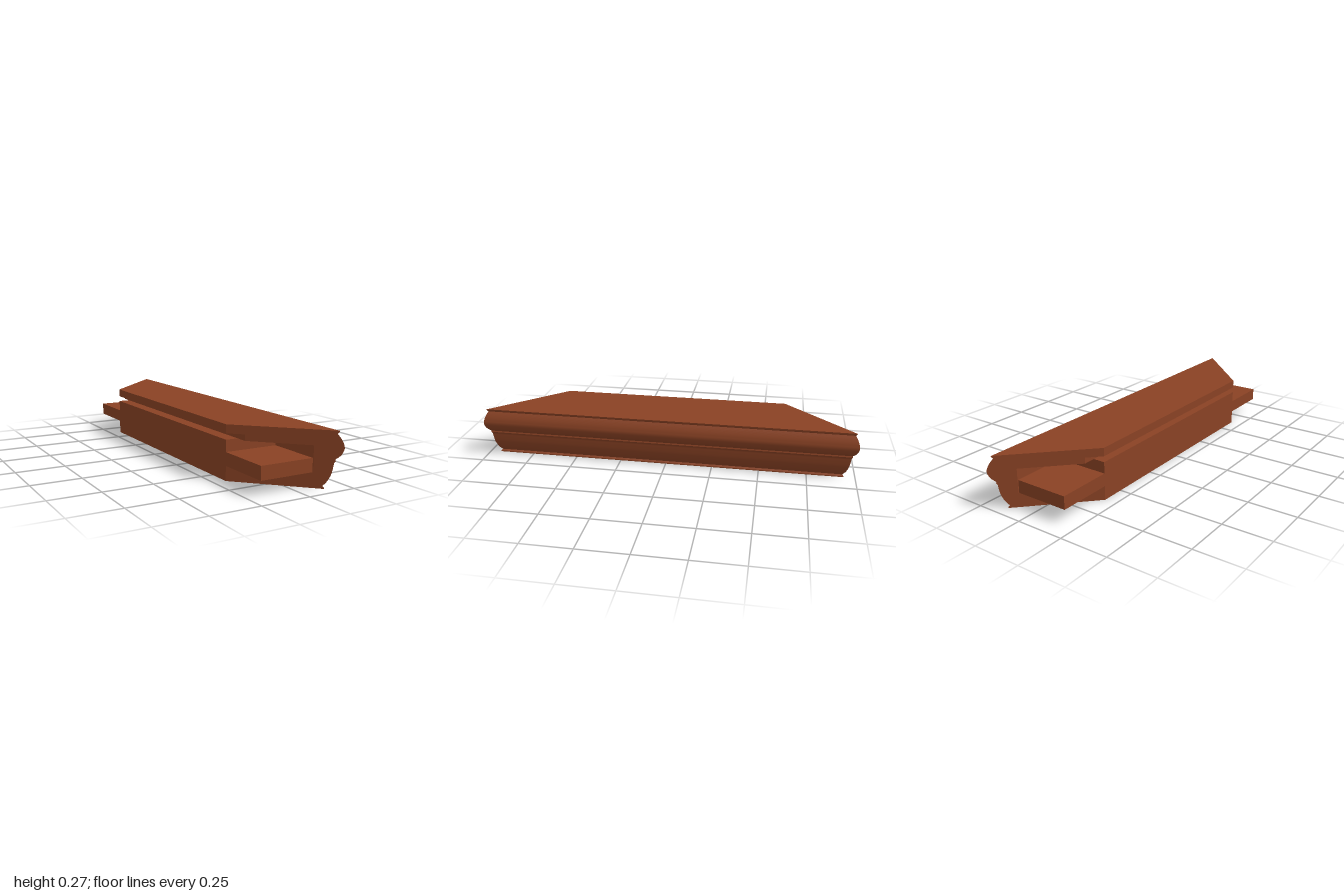
import * as THREE from 'three';
import { toCreasedNormals } from 'three/addons/utils/BufferGeometryUtils.js';

const BACK = -0.187, WALL = 0.62;              // rear face, and depth where the mortises stop
const SLOT = { x: 0.092, y0: 0.072, y1: 0.196 };
const GROOVE = { x: -0.125, y: 0.226 };
const TOP = 0.268;

// Half length at each x: both ends are mitred
const mitre = (x) => WALL + (x - BACK) * 1.0188;
const stop = () => WALL;

// Walls along z following a counter-clockwise outline
function sweep(points, lo, hi) {
  const pos = [];
  for (let i = 0; i < points.length - 1; i++) {
    const [p, q] = [points[i], points[i + 1]];
    const a = [p.x, p.y, lo(p.x)], b = [q.x, q.y, lo(q.x)];
    const c = [q.x, q.y, hi(q.x)], d = [p.x, p.y, hi(p.x)];
    pos.push(...a, ...b, ...c, ...a, ...c, ...d);
  }
  const g = new THREE.BufferGeometry();
  g.setAttribute('position', new THREE.Float32BufferAttribute(pos, 3));
  return toCreasedNormals(g, 0.6);
}

const pts = (list) => list.map(([x, y]) => new THREE.Vector2(x, y));
const curve = (list, n) => new THREE.SplineCurve(pts(list)).getPoints(n);

export function createModel() {
  const group = new THREE.Group();
  const wood = new THREE.MeshStandardMaterial({ color: 0x8a4224 });
  wood.name = 'brown wood';
  const add = (name, geometry) => {
    const mesh = new THREE.Mesh(geometry, wood);
    mesh.name = name;
    group.add(mesh);
    return mesh;
  };

  // Moulded face: cove below, round bead above
  const face = [
    ...pts([[0.128, 0], [0.128, 0.005]]),
    ...curve([[0.122, 0.013], [0.136, 0.036], [0.147, 0.067], [0.152, 0.095], [0.155, 0.122]], 14),
    ...pts([[0.16, 0.131]]),
    ...curve([[0.158, 0.138], [0.175, 0.158], [0.185, 0.188], [0.181, 0.215], [0.172, 0.237], [0.162, 0.254]], 18),
    ...pts([[0.168, 0.264], [0.168, TOP]]),
  ];
  const backTop = pts([[BACK, TOP], [BACK, GROOVE.y], [GROOVE.x, GROOVE.y], [GROOVE.x, SLOT.y1]]);
  const mortise = pts([[GROOVE.x, SLOT.y1], [SLOT.x, SLOT.y1], [SLOT.x, SLOT.y0], [BACK, SLOT.y0]]);
  const minus = (f) => (x) => -f(x);

  add('mouldedFace', sweep(face, minus(mitre), mitre));
  add('topAndGroove', sweep([face[face.length - 1], ...backTop], minus(mitre), mitre));
  add('rearFace', sweep(pts([[GROOVE.x, SLOT.y1], [BACK, SLOT.y1], [BACK, 0]]), minus(stop), stop));

  // Underside with three screw pockets
  const edge = face[0].x;
  const under = new THREE.Shape(pts([
    [BACK, -WALL], [edge, -mitre(edge)], [edge, mitre(edge)], [BACK, WALL],
  ]));
  const [px, pw, pl, depth] = [0.05, 0.05, 0.055, 0.04];
  for (const z of [-0.765, 0, 0.765]) {
    const [x0, x1, z0, z1] = [px - pw / 2, px + pw / 2, z - pl / 2, z + pl / 2];
    under.holes.push(new THREE.Path(pts([[x0, z0], [x0, z1], [x1, z1], [x1, z0]])));
    // Inside-out box without its lower face
    const box = new THREE.BoxGeometry(pw, depth, pl);
    const index = Array.from(box.index.array);
    index.splice(18, 6);
    box.setIndex(index);
    box.scale(-1, 1, 1);
    box.computeVertexNormals();
    add('screwPocket', box).position.set(px, depth / 2, z);
  }
  add('underside', new THREE.ShapeGeometry(under).rotateX(Math.PI / 2));

  // Mitred ends, each with a mortise and a loose tongue
  const outline = [...face, ...backTop, ...mortise.slice(1), new THREE.Vector2(BACK, 0)];
  const w = SLOT.x - BACK, h = SLOT.y1 - SLOT.y0;
  for (const s of [1, -1]) {
    const end = new THREE.ShapeGeometry(new THREE.Shape(outline));
    const p = end.attributes.position;
    for (let i = 0; i < p.count; i++) p.setZ(i, mitre(p.getX(i)));
    end.scale(1, 1, s);
    if (s < 0) {
      // Mirroring turns the corner order, so the face already points outward
      const idx = end.index.array;
      for (let i = 0; i < idx.length; i += 3) [idx[i], idx[i + 1]] = [idx[i + 1], idx[i]];
    }
    end.computeVertexNormals();
    add('mitredEnd', end);

    add('mortiseWalls', s > 0 ? sweep(mortise, stop, mitre) : sweep(mortise, minus(mitre), minus(stop)));
    const wall = add('mortiseBack', new THREE.PlaneGeometry(w, h));
    wall.position.set(BACK + w / 2, SLOT.y0 + h / 2, s * WALL);
    if (s < 0) wall.rotation.y = Math.PI;

    const tongue = add('tongue', new THREE.BoxGeometry(w, 0.066, 0.9 - WALL));
    tongue.position.set(BACK + w / 2, SLOT.y0 + 0.033, s * (0.9 + WALL) / 2);
  }
  return group;
}
